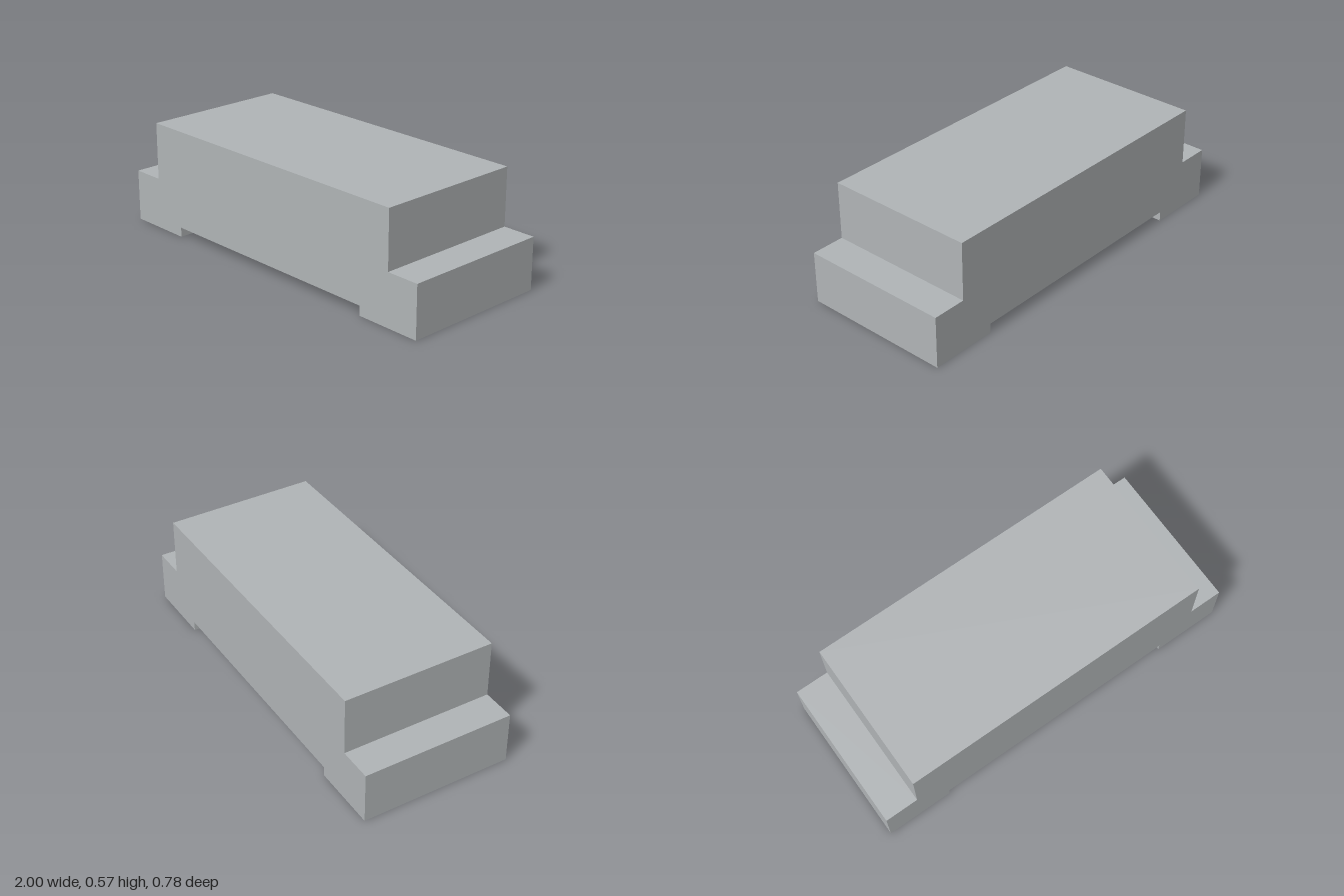
import * as THREE from 'three';

export function createModel() {
  const group = new THREE.Group();
  group.name = 'steppedBlock';

  const grey = new THREE.MeshStandardMaterial({ color: 0xb0b4b6 });
  grey.name = 'light grey';

  // Right half of the front outline, from the underside recess up to the top
  const half = [[0.65, 0.05], [0.65, 0], [1, 0], [1, 0.27], [0.825, 0.27], [0.825, 0.57]];
  const mirrored = half.map(([x, y]) => [-x, y]).reverse();
  const outline = [...half, ...mirrored].map(([x, y]) => new THREE.Vector2(x, y));

  // Solid body with end ledges and two shallow feet
  const depth = 0.784;
  const geometry = new THREE.ExtrudeGeometry(new THREE.Shape(outline), { depth, bevelEnabled: false });
  geometry.translate(0, 0, -depth / 2);

  const body = new THREE.Mesh(geometry, grey);
  body.name = 'body';
  group.add(body);
  return group;
}
